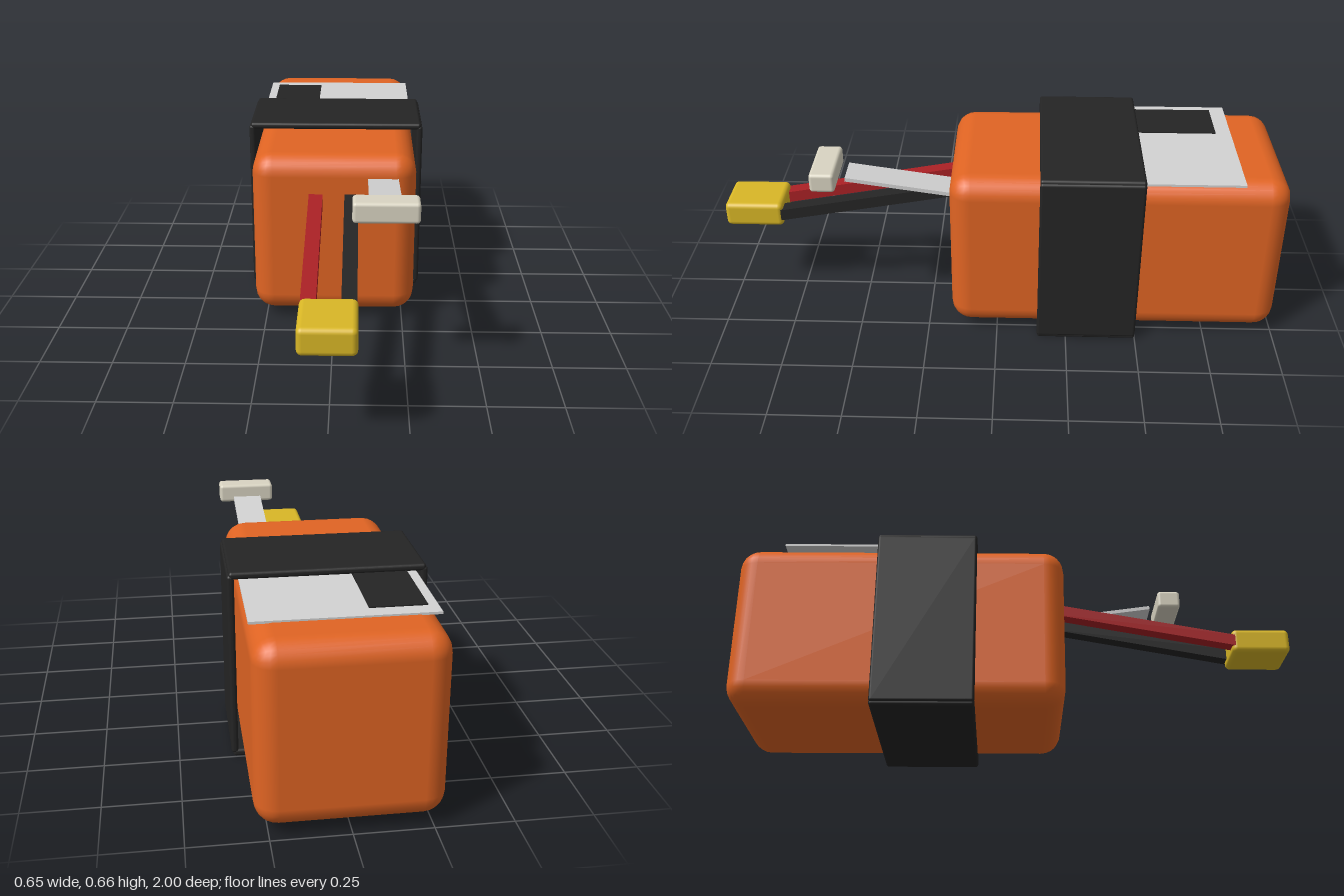
import * as THREE from 'three';
import { RoundedBoxGeometry } from 'three/addons/geometries/RoundedBoxGeometry.js';

const mat = (name, color) => {
  const m = new THREE.MeshStandardMaterial({ color });
  m.name = name;
  return m;
};

export function createModel() {
  const orange = mat('orange wrap', 0xe06423);
  const black = mat('black', 0x242424);
  const silver = mat('light grey', 0xd2d2d2);
  const red = mat('red', 0xa82024);
  const yellow = mat('yellow', 0xd9b726);
  const ivory = mat('ivory', 0xd9d4c2);

  const model = new THREE.Group();
  model.name = 'batteryPack';

  // Box given by its min and max corners, rounded when a radius is passed
  const box = (name, material, [x0, y0, z0], [x1, y1, z1], radius = 0, segments = 3) => {
    const size = [x1 - x0, y1 - y0, z1 - z0];
    const geometry = radius
      ? new RoundedBoxGeometry(...size, segments, radius)
      : new THREE.BoxGeometry(...size);
    const mesh = new THREE.Mesh(geometry, material);
    mesh.name = name;
    mesh.position.set((x0 + x1) / 2, (y0 + y1) / 2, (z0 + z1) / 2);
    model.add(mesh);
    return mesh;
  };

  // Straight bar running in the yz plane between two (y, z) ends
  const bar = (name, material, x, width, height, [y0, z0], [y1, z1]) => {
    const length = Math.hypot(y1 - y0, z1 - z0);
    const mesh = new THREE.Mesh(new THREE.BoxGeometry(width, height, length), material);
    mesh.name = name;
    mesh.position.set(x, (y0 + y1) / 2, (z0 + z1) / 2);
    mesh.rotation.x = -Math.atan2(y1 - y0, z1 - z0);
    model.add(mesh);
  };

  // Pack body
  box('body', orange, [-0.292, 0.027, -1], [0.292, 0.629, 0.165], 0.073);

  // Label with a dark panel
  box('label', silver, [-0.287, 0.627, -0.835], [0.287, 0.635, -0.2]);
  box('labelPanel', black, [-0.255, 0.634, -0.78], [-0.076, 0.639, -0.3]);

  // Strap: top, bottom and mirrored sides
  box('strapTop', black, [-0.319, 0.636, -0.5], [0.319, 0.66, -0.146], 0.01, 2);
  box('strapBottom', black, [-0.319, 0, -0.5], [0.319, 0.025, -0.146], 0.01, 2);
  for (const side of [-1, 1]) {
    const a = side * 0.302, b = side * 0.325;
    box(side > 0 ? 'strapLeft' : 'strapRight', black,
      [Math.min(a, b), 0.012, -0.5], [Math.max(a, b), 0.65, -0.146], 0.01, 2);
  }

  // Power leads and plug
  bar('redLead', red, -0.064, 0.049, 0.042, [0.482, 0.12], [0.357, 0.805]);
  bar('blackLead', black, 0.062, 0.049, 0.042, [0.482, 0.12], [0.357, 0.805]);
  box('powerPlug', yellow, [-0.09, 0.312, 0.79], [0.09, 0.403, 1], 0.018);

  // Balance ribbon and its plug
  bar('balanceRibbon', silver, 0.174, 0.107, 0.014, [0.54, 0.12], [0.599, 0.523]);
  box('balancePlug', ivory, [0.068, 0.576, 0.55], [0.28, 0.645, 0.636], 0.012);

  return model;
}
